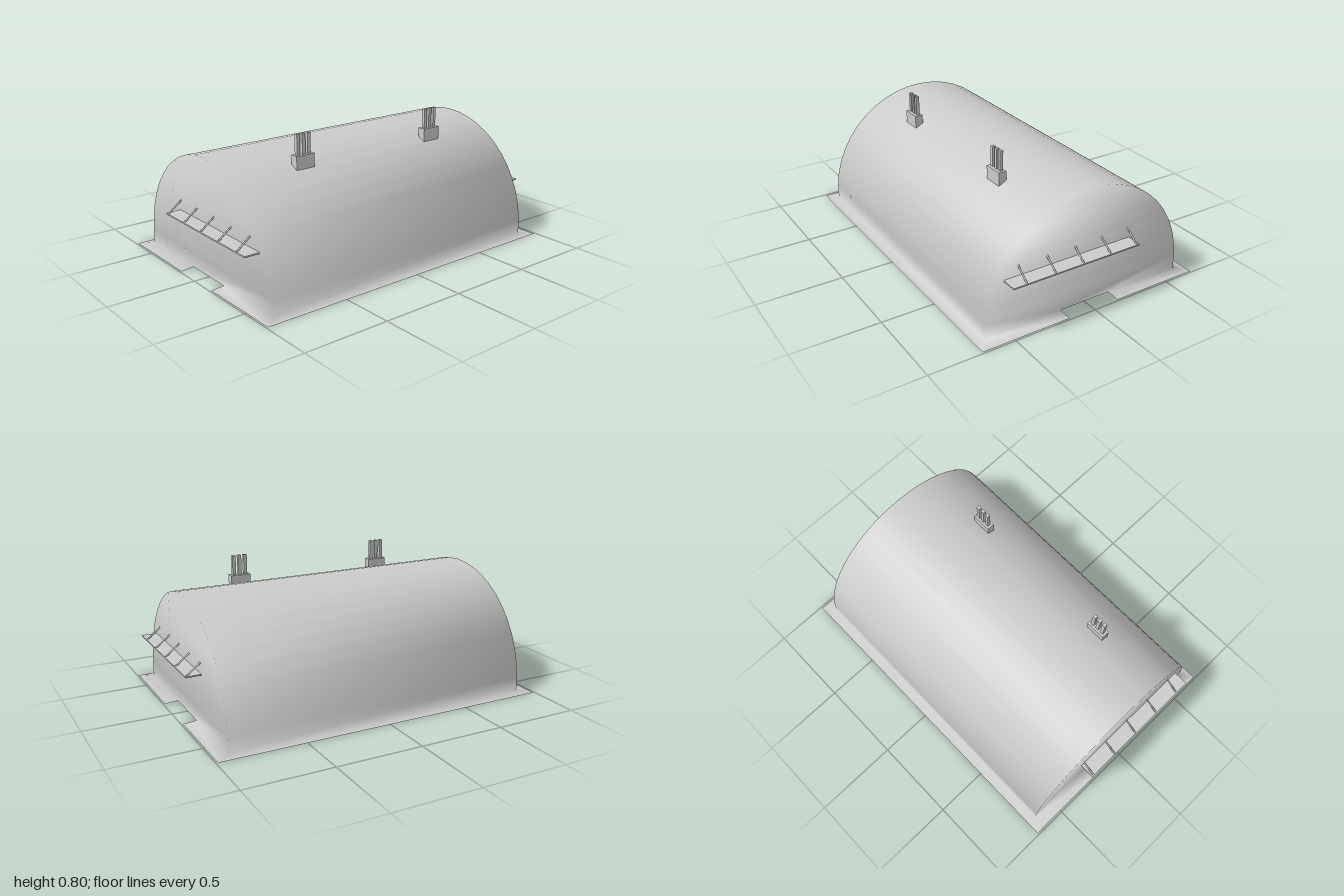
import * as THREE from 'three';
import { mergeVertices } from 'three/addons/utils/BufferGeometryUtils.js';

const material = new THREE.MeshStandardMaterial({ color: 0xcccccc, side: THREE.DoubleSide });

function addBox(parent, name, size, position) {
  const mesh = new THREE.Mesh(new THREE.BoxGeometry(...size), material);
  mesh.name = name;
  mesh.position.set(...position);
  parent.add(mesh);
  return mesh;
}

// Barrel vault, end walls and base flange as one smooth open-bottomed skin
function shellGeometry() {
  const HALF = 0.912, BASE = 0.006, NOTCH = 0.16, R = 0.63, CENTRE = 0.05, SEGS = 22;
  const arch = [[R, BASE]];
  const start = Math.asin(0.04 / R);
  for (let i = 0; i <= SEGS; i++) {
    const a = start + (Math.PI - 2 * start) * i / SEGS;
    arch.push([R * Math.cos(a), CENTRE + R * Math.sin(a)]);
  }
  arch.push([-R, BASE]);

  const positions = [];
  const tri = (a, b, c) => positions.push(...a, ...b, ...c);
  const quad = (a, b, c, d) => { tri(a, b, c); tri(a, c, d); };

  // Vault
  for (let i = 0; i < arch.length - 1; i++) {
    const [p, q] = [arch[i], arch[i + 1]];
    quad([...p, HALF], [...p, -HALF], [...q, -HALF], [...q, HALF]);
  }

  // Each end is the other turned half way round
  for (const s of [1, -1]) {
    const at = (x, y, z) => [s * x, y, s * z];
    const wall = (x, y) => at(x, y, HALF);

    // End wall in level strips, closed by a triangle at the crown
    const [tx, ty] = arch[1];
    tri(wall(-R, BASE), wall(-NOTCH, BASE), wall(-tx, ty));
    quad(wall(-NOTCH, BASE), wall(NOTCH, BASE), wall(tx, ty), wall(-tx, ty));
    tri(wall(NOTCH, BASE), wall(R, BASE), wall(tx, ty));
    const crown = (arch.length - 1) / 2;
    for (let i = 1; i < crown - 1; i++) {
      const [[x0, y0], [x1, y1]] = [arch[i], arch[i + 1]];
      quad(wall(x0, y0), wall(x1, y1), wall(-x1, y1), wall(-x0, y0));
    }
    const [x, y] = arch[crown - 1];
    tri(wall(x, y), wall(0, arch[crown][1]), wall(-x, y));

    // Flange along one side and both halves of one notched end
    const X = 0.69, Z = 0.99;
    quad(at(R, BASE, HALF), at(X, 0, Z), at(X, 0, -Z), at(R, BASE, -HALF));
    quad(wall(NOTCH, BASE), at(NOTCH, 0, Z), at(X, 0, Z), wall(R, BASE));
    quad(wall(-R, BASE), at(-X, 0, Z), at(-NOTCH, 0, Z), wall(-NOTCH, BASE));
  }

  const soup = new THREE.BufferGeometry();
  soup.setAttribute('position', new THREE.Float32BufferAttribute(positions, 3));
  const geometry = mergeVertices(soup, 1e-4);
  geometry.computeVertexNormals();
  return geometry;
}

// Narrow ledge on an end wall, held by five sloping struts
function createLedge(side) {
  const ledge = new THREE.Group();
  ledge.name = side > 0 ? 'frontLedge' : 'backLedge';
  addBox(ledge, 'ledgeBoard', [0.795, 0.008, 0.094], [0.12, 0.309, side * 0.953]);
  for (let i = 0; i < 5; i++) {
    const x = -0.264 + i * 0.1745;
    const outer = new THREE.Vector3(x, 0.31, side * 0.992);
    const inner = new THREE.Vector3(x, 0.376, side * 0.908);
    const run = inner.clone().sub(outer);
    const strut = new THREE.Mesh(new THREE.CylinderGeometry(0.005, 0.005, run.length(), 8), material);
    strut.name = 'ledgeStrut';
    strut.position.copy(outer).addScaledVector(run, 0.5);
    strut.quaternion.setFromUnitVectors(new THREE.Vector3(0, 1, 0), run.normalize());
    ledge.add(strut);
  }
  return ledge;
}

// Block with three square flues
function createChimney(z) {
  const chimney = new THREE.Group();
  chimney.name = z > 0 ? 'frontChimney' : 'backChimney';
  addBox(chimney, 'chimneyBlock', [0.048, 0.078, 0.118], [0.274, 0.641, z]);
  for (const offset of [-0.035, 0, 0.035]) {
    addBox(chimney, 'chimneyFlue', [0.02, 0.125, 0.02], [0.272, 0.7325, z + offset]);
  }
  return chimney;
}

export function createModel() {
  const model = new THREE.Group();
  model.name = 'vaultedShelter';
  const shell = new THREE.Mesh(shellGeometry(), material);
  shell.name = 'vaultShell';
  model.add(shell);
  for (const side of [1, -1]) {
    model.add(createLedge(side), createChimney(side * 0.463));
  }
  return model;
}
